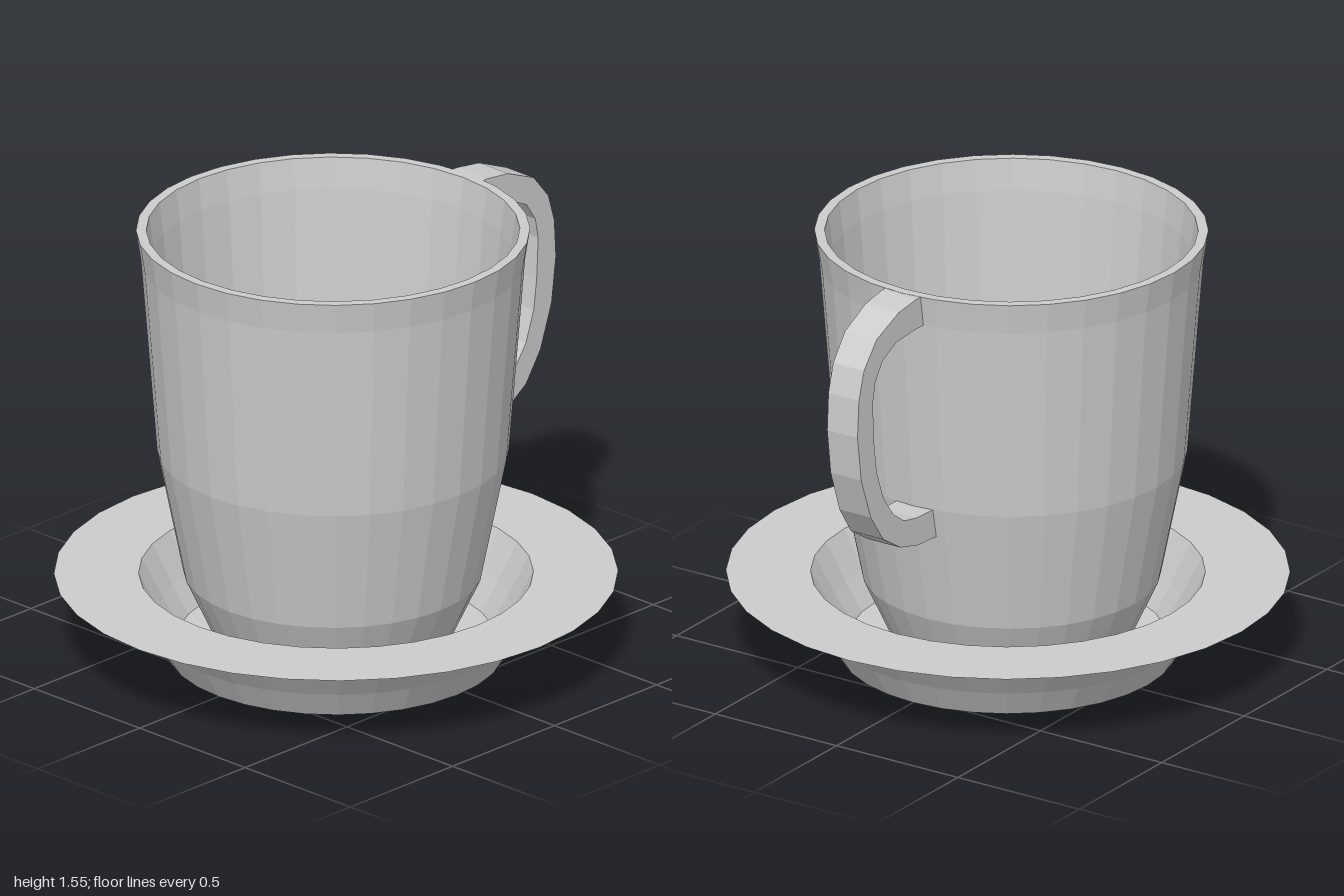
import * as THREE from 'three';

const ceramic = new THREE.MeshStandardMaterial({ color: 0xcccccc, flatShading: true });
ceramic.name = 'grey ceramic';

// Faceted solid of revolution from [radius, height] pairs
function turned(name, profile, x, z) {
  const points = profile.map(([r, y]) => new THREE.Vector2(r, y));
  const mesh = new THREE.Mesh(new THREE.LatheGeometry(points, 32), ceramic);
  mesh.name = name;
  mesh.position.set(x, 0, z);
  return mesh;
}

// Handle: flat curved strap, widening a little on its +z side where it meets the cup
function makeHandle() {
  const outer = [[0.61, 1.549], [0.65, 1.549], [0.755, 1.535], [0.885, 1.48], [0.96, 1.39],
    [0.99, 1.29], [0.998, 1.155], [0.976, 0.99], [0.92, 0.835], [0.847, 0.73], [0.745, 0.665],
    [0.64, 0.638], [0.51, 0.632]];
  const inner = [[0.54, 0.738], [0.65, 0.742], [0.72, 0.755], [0.785, 0.80], [0.845, 0.88],
    [0.885, 0.99], [0.9, 1.1], [0.908, 1.25], [0.893, 1.325], [0.85, 1.39], [0.77, 1.43],
    [0.68, 1.438], [0.6, 1.44]];
  const shape = new THREE.Shape([...outer, ...inner].map(([x, y]) => new THREE.Vector2(x, y)));
  const geometry = new THREE.ExtrudeGeometry(shape, { depth: 0.125, bevelEnabled: false });
  geometry.translate(0, 0, -0.085);
  const p = geometry.attributes.position;
  for (let i = 0; i < p.count; i++) {
    const flare = Math.max(0, 1 - p.getX(i)) * 0.035;
    p.setZ(i, p.getZ(i) + (p.getZ(i) > 0 ? flare : -flare * 0.5));
  }
  geometry.computeVertexNormals();
  const mesh = new THREE.Mesh(geometry, ceramic);
  mesh.name = 'handle';
  return mesh;
}

export function createModel() {
  const model = new THREE.Group();
  model.name = 'cupAndSaucer';

  // Saucer: sloping foot, wide flat rim, sunken well
  model.add(turned('saucer', [
    [0, 0], [0.575, 0], [0.637, 0.1], [0.727, 0.22], [0.962, 0.288],
    [0.673, 0.288], [0.6, 0.15], [0.54, 0.05], [0, 0.05],
  ], -0.038, 0));

  // Cup: outside from base to lip, then inside down to the floor
  model.add(turned('cup', [
    [0, 0.052], [0.4, 0.052], [0.51, 0.29], [0.6, 0.74], [0.655, 1.44], [0.672, 1.55],
    [0.637, 1.55], [0.622, 1.44], [0.566, 0.74], [0.48, 0.3], [0.382, 0.11], [0, 0.11],
  ], -0.038, -0.014));

  model.add(makeHandle());
  return model;
}
